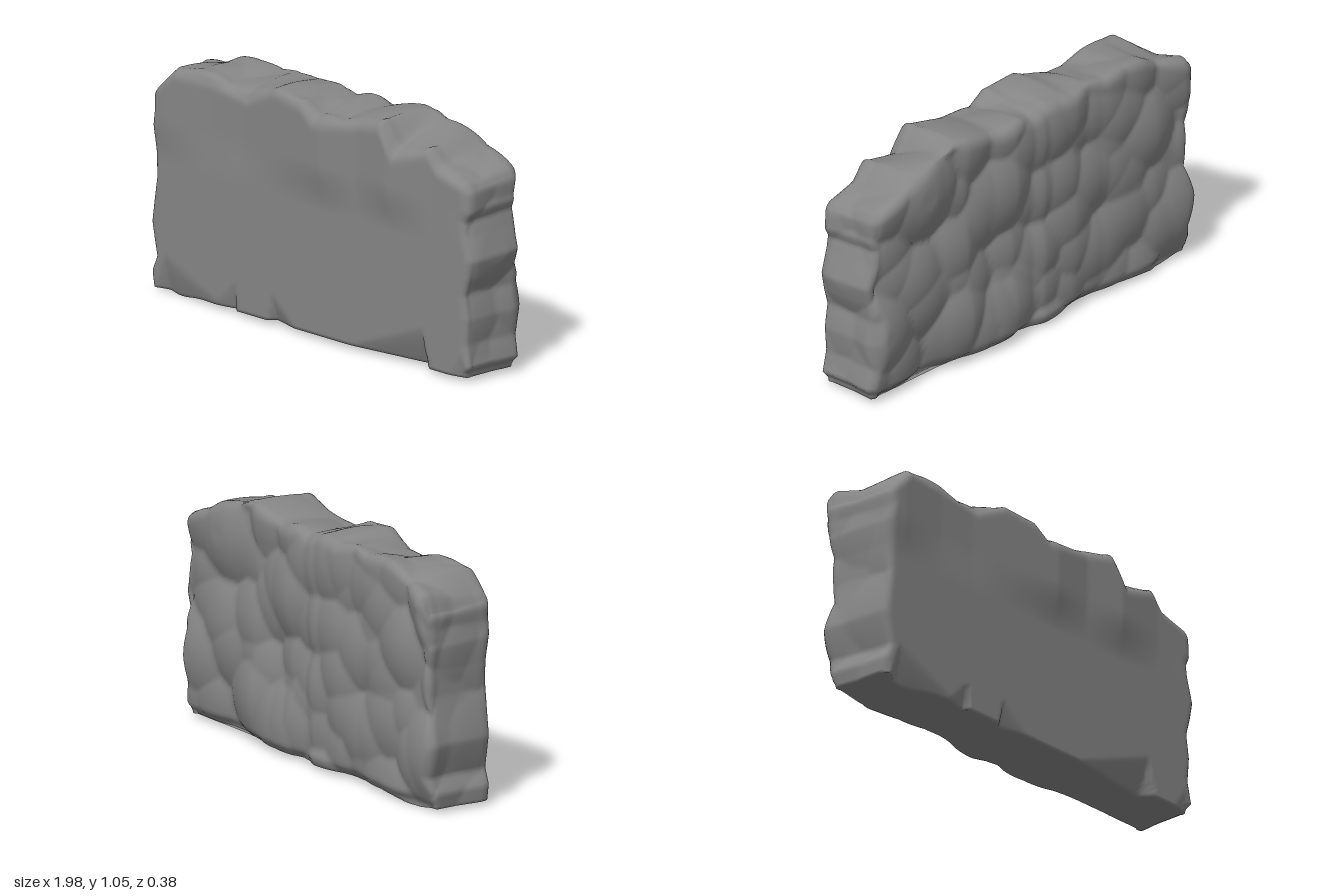
import * as THREE from 'three';
import { mergeVertices } from 'three/addons/utils/BufferGeometryUtils.js';

const { clamp, lerp, smoothstep } = THREE.MathUtils;

// small seeded random generator
function seeded(seed) {
  let s = seed;
  return () => {
    s = (s * 16807) % 2147483647;
    return s / 2147483647;
  };
}

// piecewise linear profile lookup
function profile(points, x) {
  if (x <= points[0][0]) return points[0][1];
  for (let i = 1; i < points.length; i++) {
    const [x0, y0] = points[i - 1], [x1, y1] = points[i];
    if (x <= x1) return y0 + (y1 - y0) * (x - x0) / (x1 - x0);
  }
  return points[points.length - 1][1];
}

// height of the broken top edge, along the back and along the front
const topBack = [[-0.97, 0.87], [-0.93, 0.94], [-0.75, 1.0], [-0.69, 1.03], [-0.6, 1.04], [-0.45, 1.02], [-0.35, 1.05],
  [-0.25, 1.02], [-0.1, 1.03], [0, 1.0], [0.07, 1.02], [0.2, 1.0], [0.4, 1.045], [0.48, 1.06], [0.6, 1.02],
  [0.75, 0.96], [0.97, 0.88]];
const topFront = [[-0.95, 0.89], [-0.8, 1.0], [-0.6, 1.0], [-0.37, 0.97], [-0.2, 1.05], [-0.03, 1.03], [0.05, 0.97],
  [0.25, 1.0], [0.45, 1.04], [0.53, 0.92], [0.72, 0.98], [0.78, 0.91], [0.97, 0.86]];

// reach of the two ends, by height
const leftEnd = [[0, 0.985], [0.07, 1.0], [0.14, 0.965], [0.29, 1.0], [0.5, 0.965], [0.62, 0.965], [0.73, 0.975],
  [0.8, 0.96], [0.87, 0.965]];
const rightEnd = [[0.02, 0.965], [0.05, 0.99], [0.15, 0.965], [0.27, 0.975], [0.38, 0.96], [0.46, 0.98], [0.55, 0.995],
  [0.66, 0.965], [0.72, 0.955], [0.77, 0.975], [0.86, 0.97]];

// how far the upper front and the back swell, along their length
const frontSwell = [[-0.95, 0.015], [-0.85, 0.015], [-0.6, -0.006], [-0.4, -0.008], [-0.2, 0.005], [0.1, 0.028],
  [0.3, 0.006], [0.5, 0.028], [0.75, 0], [0.97, -0.002]];
const backSwell = [[-0.95, 0.02], [-0.75, 0.016], [-0.6, 0], [-0.42, -0.01], [-0.25, 0.008], [-0.06, 0.008],
  [0, -0.008], [0.12, 0.004], [0.25, -0.008], [0.4, 0.008], [0.55, -0.01], [0.97, -0.012]];

// chips along the bottom of the front: start, deepest point, end, height, depth
const chips = [[-0.96, -0.88, -0.45, 0.18, 0.045], [-0.58, -0.44, -0.43, 0.15, 0.035],
  [-0.24, -0.22, -0.05, 0.15, 0.045], [0.2, 0.69, 0.74, 0.19, 0.07], [0.84, 0.93, 0.98, 0.14, 0.02]];

// scattered centres of the rough, tilted stone facets
function makeFacets() {
  const random = seeded(90217), facets = [];
  for (let i = 0; i < 10; i++) {
    for (let j = 0; j < 7; j++) {
      for (let k = 0; k < 2; k++) {
        facets.push({
          centre: new THREE.Vector3(
            -1 + (i + random()) * 0.2,
            (j + random()) * 0.15,
            (k === 0 ? -0.15 : 0.1) + (random() - 0.5) * 0.1),
          height: random() * 0.018,
          tilt: new THREE.Vector3(random() - 0.5, random() - 0.5, random() - 0.5).multiplyScalar(0.65),
        });
      }
    }
  }
  return facets;
}

function createSlabGeometry() {
  const box = new THREE.BoxGeometry(2, 1, 2, 130, 70, 24);
  box.deleteAttribute('uv');
  box.deleteAttribute('normal');
  const geometry = mergeVertices(box);
  const position = geometry.attributes.position;
  const facets = makeFacets();
  const p = new THREE.Vector3(), core = new THREE.Vector3(), n = new THREE.Vector3(), d = new THREE.Vector3();
  const r = 0.05, halfZ = 0.162;

  for (let i = 0; i < position.count; i++) {
    p.fromBufferAttribute(position, i);
    const t = p.y + 0.5;
    const halfX = profile(p.x < 0 ? leftEnd : rightEnd, t * 0.9);
    p.x *= halfX;
    p.z *= halfZ;
    const top = lerp(profile(topBack, p.x), profile(topFront, p.x), (p.z + halfZ) / (2 * halfZ));
    const floor = 0.02 - 0.02 * Math.exp(-(((p.x + 0.8) / 0.1) ** 2));
    p.y = floor + t * (top - floor);

    // round all edges except those on the flat underside
    core.set(clamp(p.x, -halfX + r, halfX - r), Math.min(p.y, top - r), clamp(p.z, -halfZ + r, halfZ - r));
    n.subVectors(p, core);
    const length = n.length();
    if (length > 1e-5) {
      n.divideScalar(length);
      const reach = t === 0 ? Math.min(1, length / r) : 1;
      p.copy(core).addScaledVector(n, r);

      // domed facets meeting in creases, absent from the dressed front
      let bump = -1;
      for (const f of facets) {
        d.subVectors(p, f.centre);
        bump = Math.max(bump, f.height + d.dot(f.tilt) - 1.3 * d.lengthSq());
      }
      const rough = 1 - smoothstep(n.z, 0.3, 0.95);
      const back = Math.max(0, -n.z), front = Math.max(0, n.z);
      let amount = clamp(bump - 0.019, -0.045, 0.026) * rough * (0.5 + 0.5 * back);
      // the ends stay within their outline, the back swells and tucks in at the foot
      amount = lerp(amount, Math.min(amount, 0), Math.abs(n.x));
      amount += (profile(backSwell, p.x) - 0.025 * (1 - smoothstep(p.y, 0.015, 0.06))) * back;
      // the front swells near the top
      amount += profile(frontSwell, p.x) * smoothstep(p.y, 0.57, 0.78) * front;
      p.copy(core).addScaledVector(n, (r + Math.min(amount, 0.028)) * reach);
    }

    // chips cut back the lower front
    if (p.z > 0) {
      for (const [a, m, b, high, deep] of chips) {
        const across = profile([[a, 0], [m, 1], [b, 0]], p.x);
        const rise = Math.max(0, 1 - p.y / (high * Math.max(across, 0.01)));
        p.z -= deep * across * rise ** 1.3 * Math.min(1, p.z / 0.12);
      }
    }
    // the front of the left end is drawn in
    if (p.x < -0.8) p.x += 0.04 * smoothstep(p.z, -0.14, halfZ) * (-p.x - 0.8) / 0.2;
    position.setXYZ(i, p.x, p.y, p.z);
  }
  geometry.computeVertexNormals();
  return geometry;
}

export function createModel() {
  const group = new THREE.Group();
  group.name = 'stoneSlab';
  const slab = new THREE.Mesh(createSlabGeometry(), new THREE.MeshStandardMaterial({ color: 0x868686 }));
  slab.name = 'roughStone';
  group.add(slab);
  return group;
}
